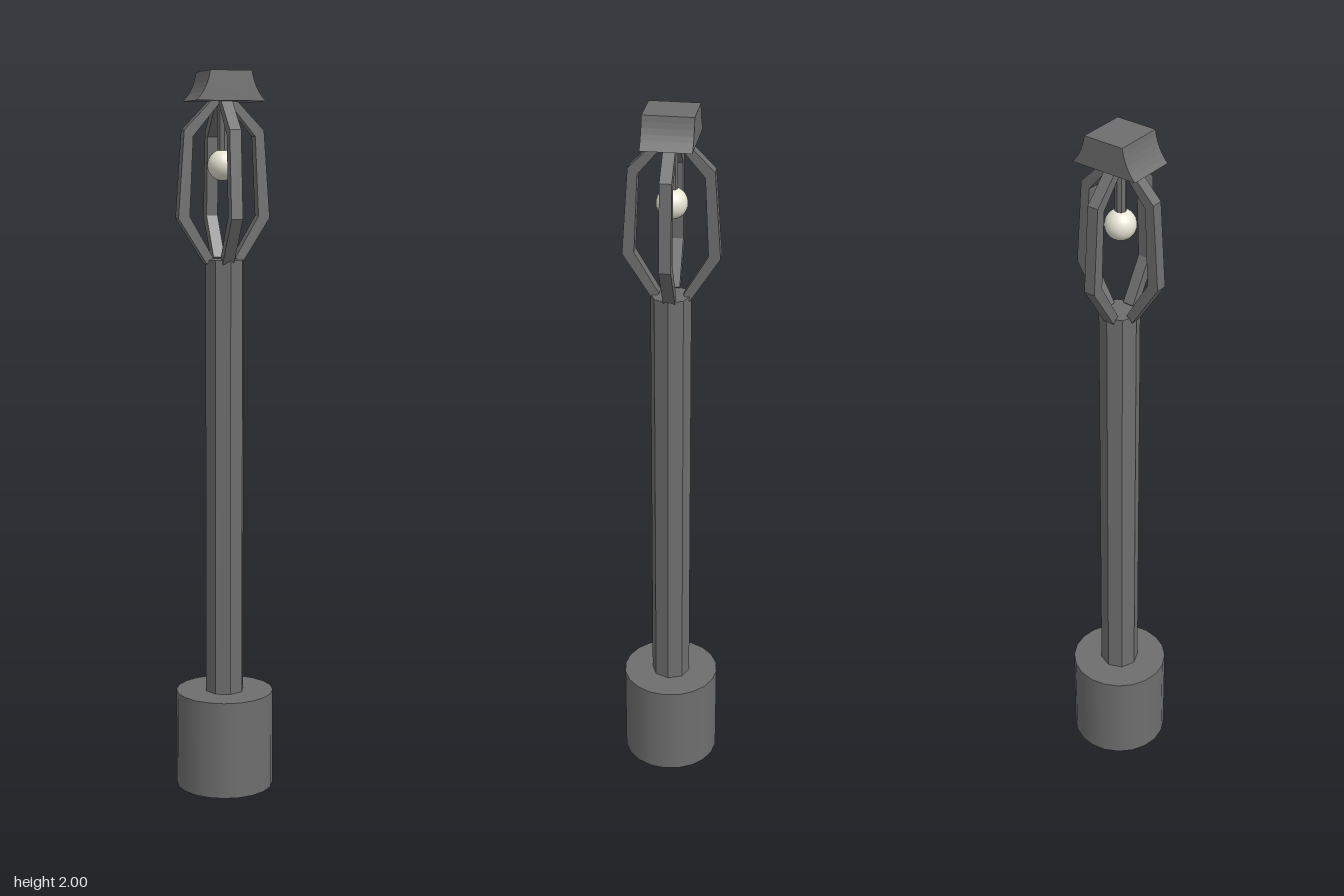
import * as THREE from 'three';

export function createModel() {
  const model = new THREE.Group();
  const metal = new THREE.MeshStandardMaterial({ color: 0x6e6e6e });
  metal.name = 'grey metal';
  const glow = new THREE.MeshStandardMaterial({ color: 0xe6e4d4 });
  glow.name = 'cream glass';

  const add = (name, geometry, material, x = 0, y = 0, z = 0) => {
    const mesh = new THREE.Mesh(geometry, material);
    mesh.name = name;
    mesh.position.set(x, y, z);
    model.add(mesh);
    return mesh;
  };
  const faceted = (geometry) => {
    const flat = geometry.toNonIndexed();
    flat.computeVertexNormals();
    return flat;
  };
  // Extrudes a side-on shape, centred on its depth
  const slab = (shape, depth) => new THREE.ExtrudeGeometry(shape, {
    depth, bevelEnabled: false, curveSegments: 6,
  }).translate(0, 0, -depth / 2);

  // Round foot and octagonal post
  add('base', new THREE.CylinderGeometry(0.137, 0.137, 0.275, 20), metal, 0, 0.1375);
  add('post', faceted(new THREE.CylinderGeometry(0.055, 0.055, 1.225, 8)), metal, 0, 0.8825);

  // Four bent arms forming the lantern cage
  const armProfile = new THREE.Shape([
    [0.05, 1.483], [0.13, 1.607], [0.113, 1.843], [0.03, 1.928],
    [0.005, 1.925], [0.088, 1.827], [0.098, 1.612], [0.032, 1.5],
  ].map(([r, y]) => new THREE.Vector2(r, y)));
  const armGeometry = slab(armProfile, 0.032);
  for (let i = 0; i < 4; i++) {
    add('cageArm' + (i + 1), armGeometry, metal, -0.005, 0, -0.002).rotation.y = i * Math.PI / 2;
  }

  // Hanging rod and bulb
  add('bulbRod', faceted(new THREE.CylinderGeometry(0.015, 0.015, 0.15, 8)), metal, -0.005, 1.85, -0.002);
  add('bulb', new THREE.SphereGeometry(0.042, 24, 16), glow, -0.005, 1.75, -0.002);

  // Cap with two flared sides
  const cap = new THREE.Shape();
  cap.moveTo(-0.097, 1.92);
  cap.lineTo(0.097, 1.92);
  cap.quadraticCurveTo(0.066, 1.95, 0.058, 2);
  cap.lineTo(-0.058, 2);
  cap.quadraticCurveTo(-0.066, 1.95, -0.097, 1.92);
  add('cap', slab(cap, 0.134), metal, -0.002, 0, -0.001);

  return model;
}
